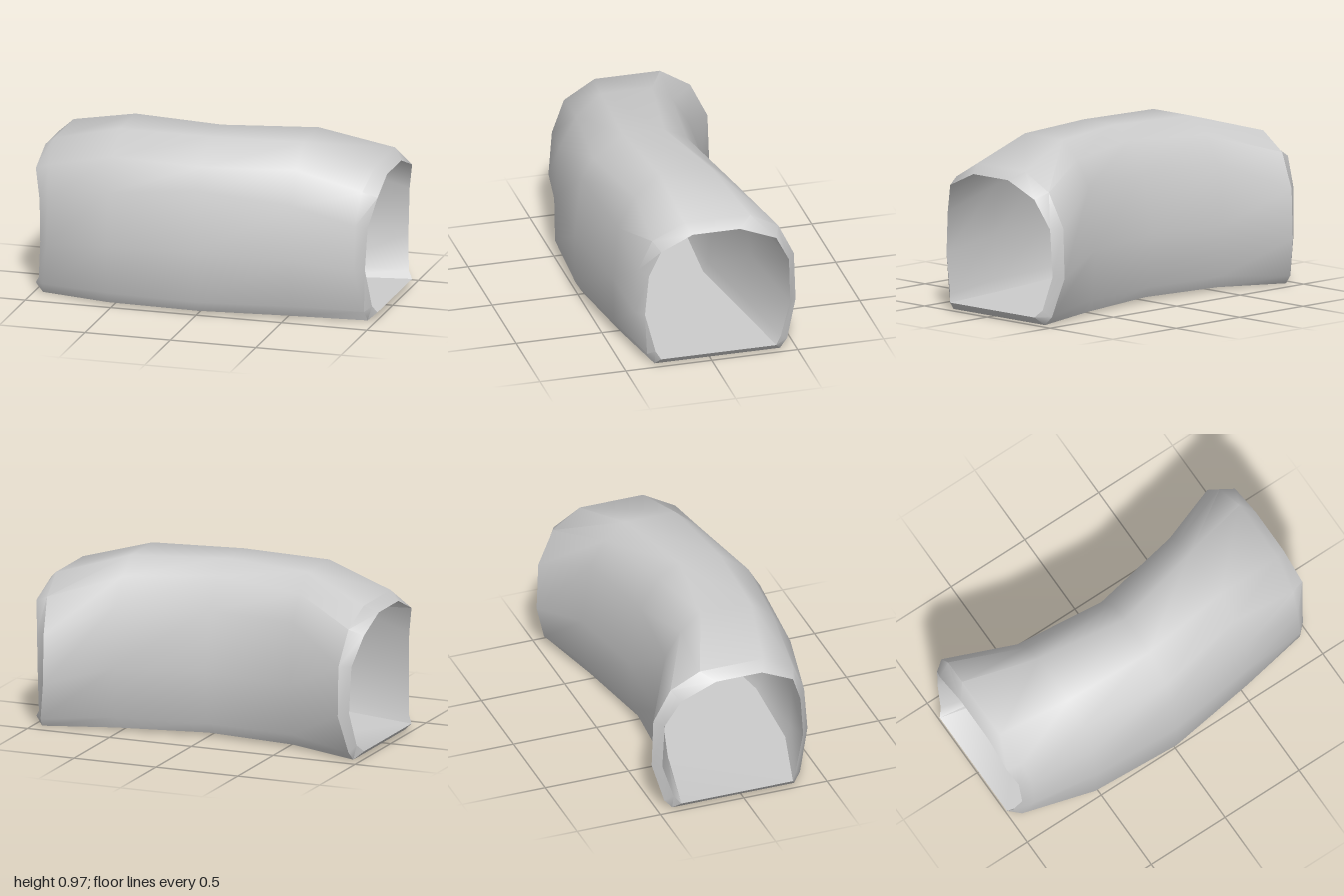
import * as THREE from 'three';
import { toCreasedNormals } from 'three/addons/utils/BufferGeometryUtils.js';

// Cross-sections as [z, y(, x)] running from the front floor edge, over the roof, to the back floor edge
const middle = [[.48, .02], [.515, .08], [.52, .37], [.48, .72], [.41, .84], [.24, .97],
  [0, .97], [-.13, .9], [-.235, .72], [-.305, .38], [-.28, .08], [-.25, .02]];
const quarter = [[.45, .015], [.485, .08], [.49, .35], [.46, .66], [.36, .84], [.22, .965],
  [-.08, .965], [-.2, .87], [-.29, .72], [-.34, .37], [-.315, .08], [-.29, .015]];
const shoulder = [[.32, 0, .95], [.36, .06, .94], [.42, .31, .9], [.4, .57, .9], [.325, .75, .92], [.14, .85, .94],
  [-.24, .85, .94], [-.41, .75, .92], [-.505, .555, .9], [-.515, .27, .9], [-.455, .05, .94], [-.41, 0, .95]];
const lip = [[.295, .045, 1], [.32, .085, .975], [.375, .31, .95], [.355, .55, .96], [.295, .715, 1], [.11, .8, 1],
  [-.165, .8, 1], [-.375, .715, 1], [-.46, .55, .96], [-.47, .28, .95], [-.41, .085, .97], [-.375, .045, 1]];

// Place a section: side mirrors its own x, or x is given; dz shifts it in depth
const atEnd = (section, side) => section.map(([z, y, x]) => new THREE.Vector3(side * x, y, z));
const atX = (section, x, dz = 0) => section.map(([z, y]) => new THREE.Vector3(x, y, z + dz));

// Shrink a section by the wall thickness, toward its middle
function inset(ring, wall = 0.024) {
  const box = new THREE.Box3().setFromPoints(ring);
  const c = box.getCenter(new THREE.Vector3());
  const s = box.getSize(new THREE.Vector3());
  return ring.map((p) => new THREE.Vector3(
    p.x,
    c.y + (p.y - c.y) * (1 - 2 * wall / s.y),
    c.z + (p.z - c.z) * (1 - 2 * wall / s.z)));
}

// Join rings into a closed, hollow skin
function skin(rings) {
  const n = rings[0].length;
  const index = [];
  rings.forEach((_, i) => {
    const next = (i + 1) % rings.length;
    for (let j = 0; j < n; j++) {
      const k = (j + 1) % n;
      const a = i * n + j, b = next * n + j, c = next * n + k, d = i * n + k;
      index.push(a, b, c, a, c, d);
    }
  });
  const geometry = new THREE.BufferGeometry().setFromPoints(rings.flat());
  geometry.setIndex(index);
  return toCreasedNormals(geometry, 0.8);
}

export function createModel() {
  const group = new THREE.Group();
  group.name = 'curvedTunnel';

  const body = [atX(quarter, -.53), atX(middle, 0), atX(quarter, .53, -.045)];
  const rings = [
    atEnd(lip, -1), atEnd(shoulder, -1), // right rim
    ...body, // outer shell
    atEnd(shoulder, 1), atEnd(lip, 1), // left rim
    ...body.map((ring) => inset(ring)).reverse(), // inner lining
  ];

  const shell = new THREE.Mesh(skin(rings),
    new THREE.MeshStandardMaterial({ color: 0xcccccc, side: THREE.DoubleSide }));
  shell.name = 'tunnelShell';
  group.add(shell);
  return group;
}
